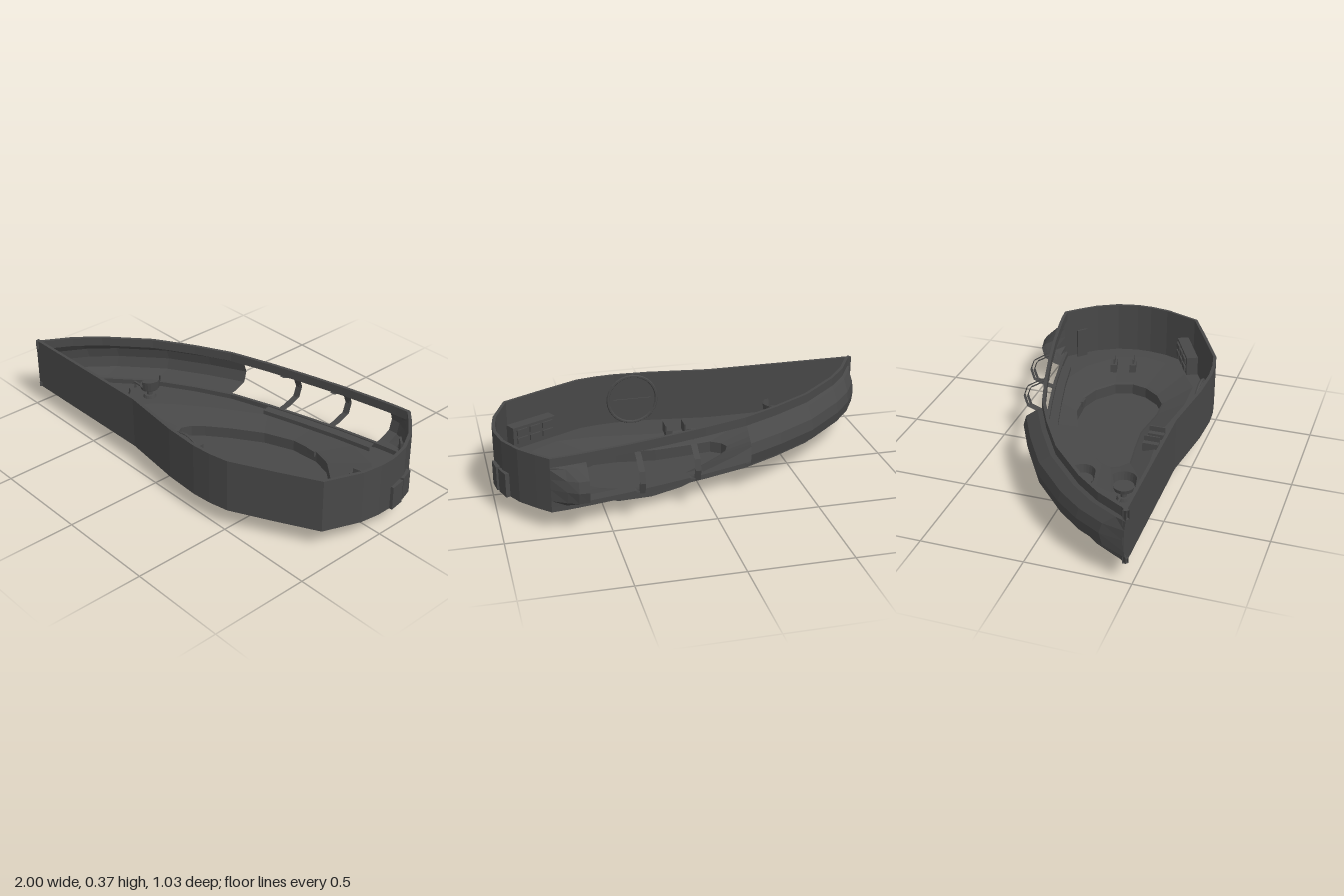
import * as THREE from 'three';

const mat = new THREE.MeshStandardMaterial({ color: 0x484848, flatShading: true, side: THREE.DoubleSide });
const Y0 = 0.1, Y1 = 0.37;

// Plan outlines as [x, z]
const frontPath = [[-1, 0.47], [-0.2, 0.465], [0, 0.49], [0.12, 0.505], [0.3, 0.513], [0.4, 0.505], [0.5, 0.485],
  [0.7, 0.385], [0.9, 0.28], [0.97, 0.1], [0.985, 0], [0.985, -0.08], [0.96, -0.19], [0.9, -0.3], [0.83, -0.38], [0.77, -0.44]];
const backPath = [[0.77, -0.44], [0.7, -0.432], [0.65, -0.424], [0.6, -0.415], [0.4, -0.375], [0.2, -0.325], [0, -0.27], [-0.22, -0.2],
  [-0.4, -0.11], [-0.6, 0.01], [-0.8, 0.19], [-0.9, 0.31], [-0.975, 0.44], [-1, 0.47]];
const wellPath = [[-0.22, 0.15], [-0.2, 0.1], [-0.15, 0.05], [-0.05, -0.03], [0.1, -0.13], [0.25, -0.19], [0.4, -0.2],
  [0.5, -0.17], [0.6, -0.09], [0.63, 0], [0.61, 0.08], [0.55, 0.16], [0.47, 0.21], [0.35, 0.215], [0.15, 0.19],
  [0, 0.205], [-0.15, 0.225], [-0.2, 0.19]];
// Outward bulge of the rear side: [offset, y]
const bulge = [[0, 0.125], [0.025, 0.13], [0.085, 0.158], [0.1, 0.215], [0.085, 0.268], [0.025, 0.315], [0, 0.325]];

const scaled = (k) => wellPath.map(([x, z]) => [0.21 + (x - 0.21) * k, 0.01 + (z - 0.01) * k]);

// Skin a list of equally long rings of [x, y, z]
function loft(rings, closed) {
  const n = rings[0].length, index = [];
  for (let i = 0; i < rings.length - 1; i++)
    for (let j = 0; j < (closed ? n : n - 1); j++) {
      const a = i * n + j, b = i * n + (j + 1) % n;
      index.push(a, b, a + n, b, b + n, a + n);
    }
  const g = new THREE.BufferGeometry();
  g.setAttribute('position', new THREE.Float32BufferAttribute(rings.flat(2), 3));
  g.setIndex(index);
  const flat = g.toNonIndexed();
  flat.computeVertexNormals();
  return flat;
}

// Thin upright band following a plan path
function band(path, y0, y1, t = 0.016) {
  return loft(path.map(([x, z], i) => {
    const a = path[Math.max(i - 1, 0)], b = path[Math.min(i + 1, path.length - 1)];
    const l = Math.hypot(b[0] - a[0], b[1] - a[1]);
    const nx = -(b[1] - a[1]) / l * t, nz = (b[0] - a[0]) / l * t;
    return [[x, y0, z], [x, y1, z], [x - nx, y1, z - nz], [x - nx, y0, z - nz]];
  }), true);
}

function plate(outline, y, hole) {
  const v = (p) => p.map(([x, z]) => new THREE.Vector2(x, z));
  const s = new THREE.Shape(v(outline));
  if (hole) s.holes.push(new THREE.Path(v(hole)));
  return new THREE.ShapeGeometry(s).rotateX(Math.PI / 2).translate(0, y, 0);
}

export function createModel() {
  const model = new THREE.Group();
  const add = (name, geo, x = 0, y = 0, z = 0, ry = 0, parent = model) => {
    const m = new THREE.Mesh(geo, mat);
    m.name = name;
    m.position.set(x, y, z);
    m.rotation.y = ry;
    parent.add(m);
    return m;
  };
  const box = (w, h, d) => new THREE.BoxGeometry(w, h, d);
  const cyl = (r0, r1, h, n = 16) => new THREE.CylinderGeometry(r0, r1, h, n);

  // Hull walls, with an open strip between two rails at the rear
  add('outerWall', band(frontPath, Y0, Y1));
  add('upperRearRail', band(backPath, 0.325, Y1));
  add('lowerRearRail', band(backPath, Y0, 0.125));

  // Floor, sloping down to a sunken well
  const ring = (p, y) => [...p, p[0]].map(([x, z]) => [x, y, z]);
  const slopeEdge = scaled(1.63), wellEdge = scaled(1.05);
  add('floor', plate([...frontPath, ...backPath.slice(1, -1)], Y0, slopeEdge));
  add('floorSlope', loft([ring(slopeEdge, Y0), ring(wellEdge, 0.064)]));
  add('wellWall', loft([ring(wellEdge, 0.064), ring(wellEdge, 0)]));
  add('wellInnerWall', loft([ring(wellEdge, 0.064), ring(scaled(1), 0.06), ring(scaled(1), 0.002)]));
  add('wellBottom', plate(wellEdge, 0));

  // Bulging rear panels either side of the window strip
  const panel = (path, scale) => loft(path.map(([x, z], i) => bulge.map(([o, y]) => [x, y, z - o * scale(i)])));
  add('rightRearPanel', panel(backPath.slice(7), (i) => (i === 6 ? 0.1 : 1)));
  add('leftRearPanel', panel(backPath.slice(0, 4), (i) => [0, 0.55, 0.9, 1][i]));

  // Window ribs following the bulge
  for (const [x, z] of [[0.07, -0.291], [0.35, -0.363]]) {
    const rib = (dx) => [...bulge.map(([o, y]) => [x + dx, y, z - o * 1.18]),
      ...bulge.slice().reverse().map(([o, y]) => [x + dx, 0.22 + (y - 0.22) * 0.93, z + 0.018 - o * 1.18])];
    add('windowRib', loft([rib(-0.013), rib(0.013)], true));
  }

  // Low bench along the window strip
  add('windowBench', band(backPath.slice(3, 7).map(([x, z]) => [x, z + 0.02]), Y0, 0.122, 0.045));

  // Swivel seats with curved backs and control sticks
  for (const z of [0.11, 0.31]) {
    const seat = new THREE.Group();
    seat.name = 'swivelSeat';
    seat.position.set(-0.52, Y0, z);
    add('seatBase', cyl(0.03, 0.035, 0.015), 0, 0.007, 0, 0, seat);
    add('seatStem', cyl(0.015, 0.015, 0.05, 10), 0, 0.03, 0, 0, seat);
    add('seatCushion', cyl(0.05, 0.045, 0.02), 0, 0.06, 0, 0, seat);
    add('seatBack', new THREE.CylinderGeometry(0.06, 0.052, 0.05, 10, 1, true, 0.2, 2.74), 0, 0.085, 0, 0, seat);
    add('controlArm', box(0.08, 0.008, 0.01), -0.09, 0.03, 0, 0, seat);
    add('controlPost', cyl(0.006, 0.006, 0.058, 8), -0.12, 0.004, 0, 0, seat);
    model.add(seat);
  }

  // Small stools
  for (const [x, z, r] of [[-0.04, 0.3, 0], [0.06, 0.3, 0], [0.73, -0.14, 1.8], [0.76, -0.04, 1.8]]) {
    add('stool', box(0.035, 0.045, 0.08), x, 0.105, z, r);
    add('stoolBack', box(0.008, 0.03, 0.08), x + 0.014, 0.14, z, r);
  }

  // Wall console with two rows of keys
  const wallConsole = new THREE.Group();
  wallConsole.name = 'wallConsole';
  wallConsole.position.set(0.77, 0.21, 0.265);
  wallConsole.rotation.y = 0.464;
  add('consoleBody', box(0.25, 0.1, 0.06), 0, 0, 0, 0, wallConsole);
  for (let i = 0; i < 3; i++)
    for (const y of [-0.022, 0.022]) add('consoleKey', box(0.06, 0.03, 0.012), (i - 1) * 0.075, y, -0.033, 0, wallConsole);
  model.add(wallConsole);

  // Round hatch on the front wall's inner face
  add('roundHatch', cyl(0.13, 0.13, 0.014, 28).rotateX(Math.PI / 2), 0.21, 0.235, 0.483);
  add('hatchRim', new THREE.TorusGeometry(0.13, 0.008, 6, 28), 0.21, 0.235, 0.475);
  add('hatchBar', box(0.2, 0.008, 0.008), 0.21, 0.235, 0.473, 0);

  // Outer plates at the blunt end and small fittings
  add('sidePlate', box(0.022, 0.12, 0.078), 0.984, 0.16, -0.112, 0.14);
  add('sidePlate', box(0.022, 0.12, 0.078), 0.958, 0.16, -0.2, 0.32);
  add('innerDoor', box(0.06, 0.16, 0.01), 0.8, 0.18, -0.35, -0.75);
  add('wellStep', box(0.05, 0.03, 0.014), 0.37, 0.05, -0.195);
  return model;
}
